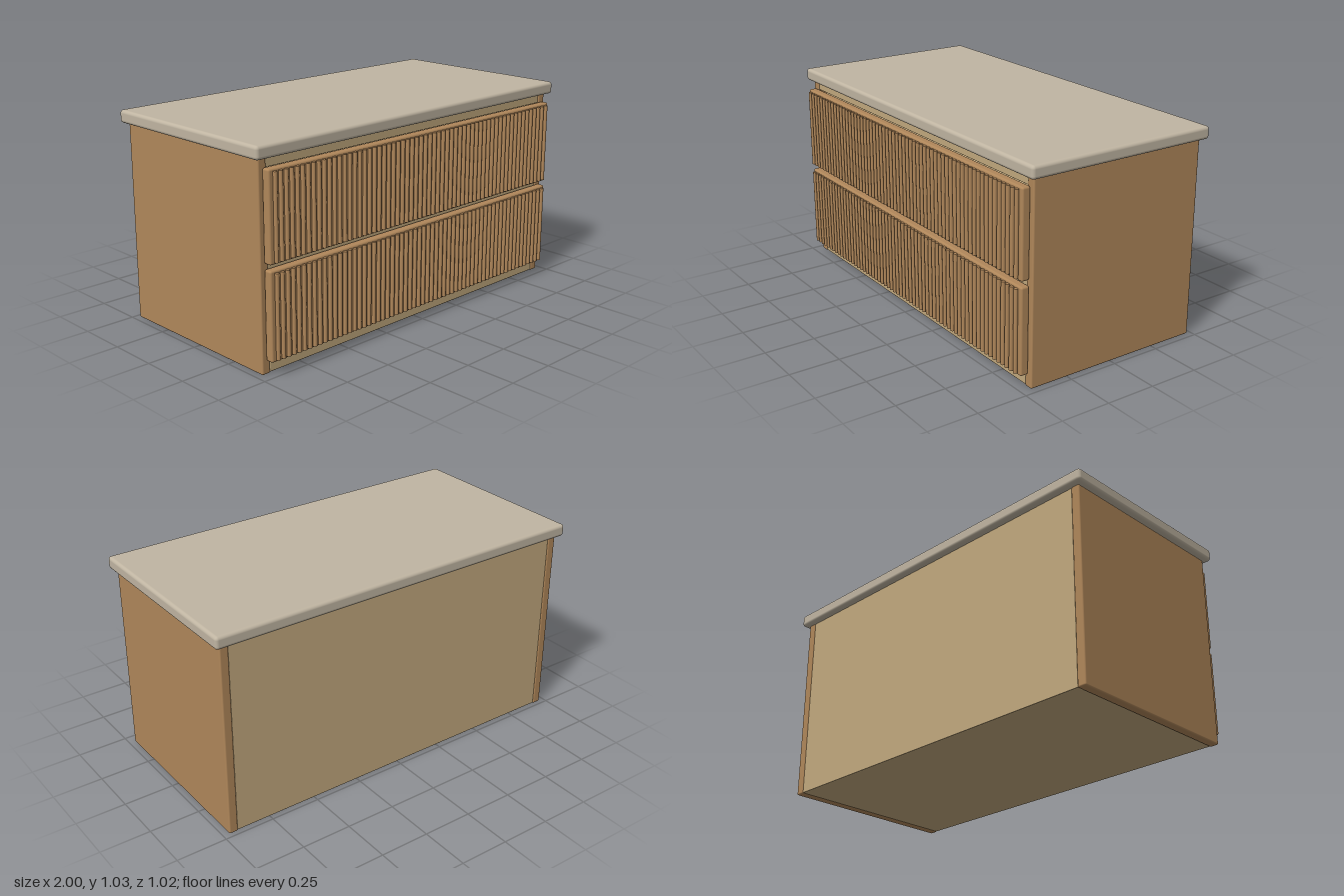
import * as THREE from 'three';
import { RoundedBoxGeometry } from 'three/addons/geometries/RoundedBoxGeometry.js';

const material = (name, color) => {
  const m = new THREE.MeshStandardMaterial({ color });
  m.name = name;
  return m;
};

export function createModel() {
  const oak = material('warm oak', 0xb0875a);
  const pale = material('pale wood', 0xc2a97e);
  const stone = material('stone', 0xc0b5a2);
  const dark = material('dark groove', 0x4a3826);
  const model = new THREE.Group();
  model.name = 'drawerCabinet';

  // Rounded board given by its minimum and maximum on each axis
  const board = (parent, name, mat, [x0, x1], [y0, y1], [z0, z1], r) => {
    const mesh = new THREE.Mesh(new RoundedBoxGeometry(x1 - x0, y1 - y0, z1 - z0, 3, r), mat);
    mesh.position.set((x0 + x1) / 2, (y0 + y1) / 2, (z0 + z1) / 2);
    mesh.name = name;
    parent.add(mesh);
  };

  // Countertop
  board(model, 'countertop', stone, [-1, 1], [0.97, 1.032], [-0.51, 0.48], 0.016);

  // Side panels
  board(model, 'rightPanel', oak, [-0.97, -0.925], [0, 0.972], [-0.48, 0.45], 0.008);
  board(model, 'leftPanel', oak, [0.925, 0.97], [0, 0.972], [-0.48, 0.45], 0.008);

  // Carcass: floor, back and front rails
  const inner = [-0.926, 0.926];
  board(model, 'floorPanel', pale, inner, [0.002, 0.052], [-0.475, 0.447], 0.006);
  board(model, 'backPanel', pale, inner, [0.003, 0.971], [-0.476, -0.44], 0.003);
  board(model, 'topRail', pale, inner, [0.925, 0.971], [-0.46, 0.445], 0.004);
  board(model, 'middleRail', pale, inner, [0.47, 0.525], [-0.46, 0.445], 0.004);

  // Drawers with a fluted front
  const slats = 61, span = 0.92, radius = 0.0098;
  const slatShape = new THREE.CylinderGeometry(radius, radius, 0.398, 12);
  [['lowerDrawer', 0.065], ['upperDrawer', 0.51]].forEach(([name, y]) => {
    const drawer = new THREE.Group();
    drawer.name = name;
    board(drawer, 'drawerFront', oak, [-0.95, 0.95], [y, y + 0.42], [0.45, 0.493], 0.01);
    board(drawer, 'drawerBox', pale, [-0.9, 0.9], [y + 0.02, y + 0.4], [-0.4, 0.452], 0.004);
    board(drawer, 'fingerGroove', dark, [-0.87, 0.87], [y - 0.005, y + 0.005], [0.446, 0.465], 0.002);
    for (let i = 0; i < slats; i++) {
      const slat = new THREE.Mesh(slatShape, oak);
      slat.position.set(-span + (2 * span * i) / (slats - 1), y + 0.21, 0.5);
      slat.name = 'slat';
      drawer.add(slat);
    }
    model.add(drawer);
  });

  return model;
}
